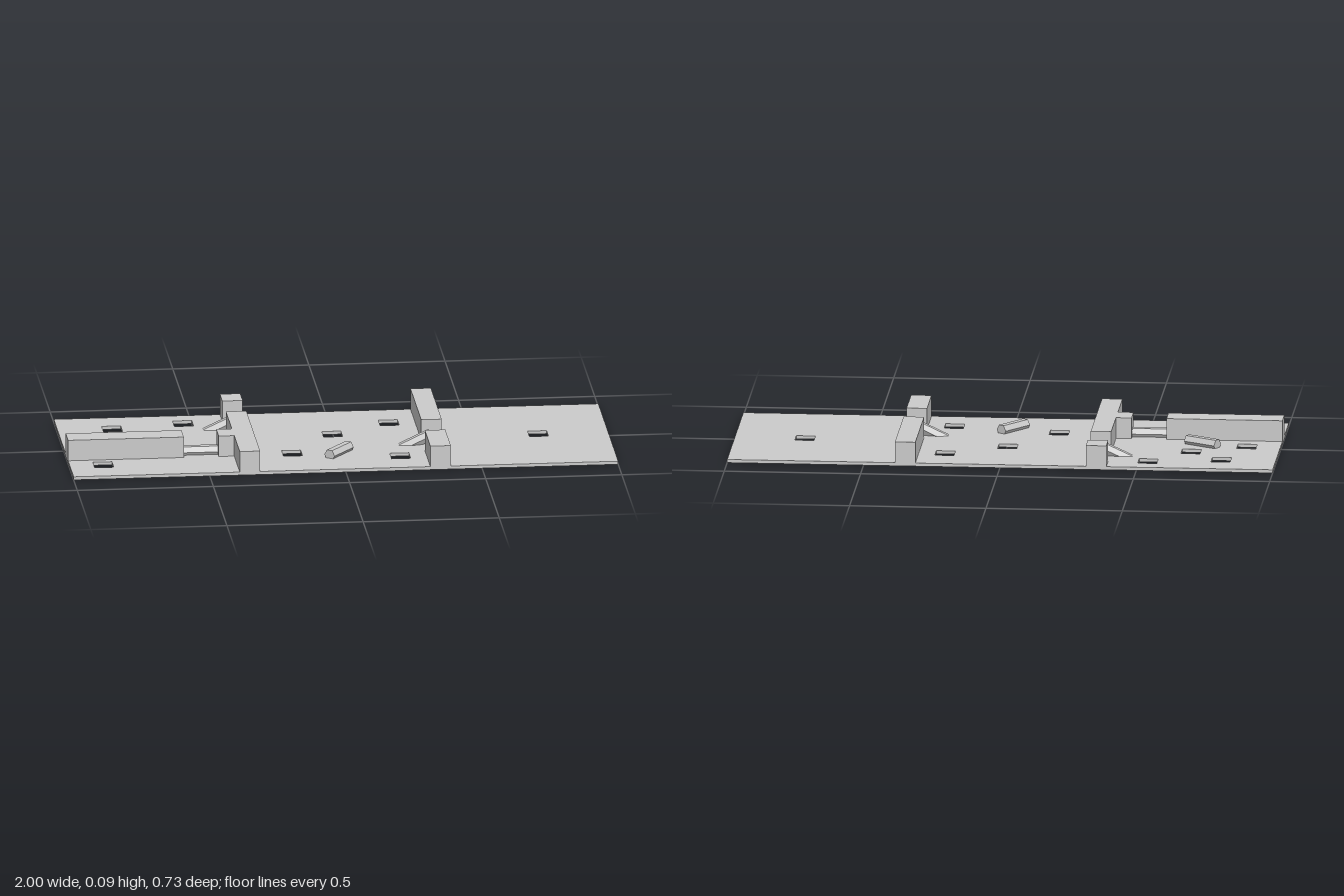
import * as THREE from 'three';

const PLATE = 0.012, TOP = 0.09, HALF_DEPTH = 0.367;
const BAR_LENGTH = 0.133, BAR_RADIUS = 0.022, BAR_Y = 0.0235;

const material = new THREE.MeshStandardMaterial({ color: 0xcccccc, flatShading: true });

function add(group, name, geometry) {
  const mesh = new THREE.Mesh(geometry, material);
  mesh.name = name;
  group.add(mesh);
}

// Thin floor with square holes cut through it
function floorGeometry() {
  const shape = new THREE.Shape([
    [-1, -HALF_DEPTH], [1, -HALF_DEPTH], [1, HALF_DEPTH], [-1, HALF_DEPTH],
  ].map(([x, z]) => new THREE.Vector2(x, z)));
  const holes = [
    [-0.80, -0.225], [-0.535, -0.267], [-0.68, -0.105], [-0.877, -0.011], [-0.877, 0.225],
    [-0.176, 0.148], [-0.006, -0.08], [0.214, -0.203], [0.214, 0.219], [0.743, -0.011],
  ];
  const s = 0.035;
  for (const [x, z] of holes) {
    shape.holes.push(new THREE.Path([[-s, -s], [-s, s], [s, s], [s, -s]]
      .map(([dx, dz]) => new THREE.Vector2(x + dx, z + dz))));
  }
  const geometry = new THREE.ExtrudeGeometry(shape, { depth: PLATE, bevelEnabled: false });
  return geometry.rotateX(Math.PI / 2).translate(0, PLATE, 0);
}

// Wall block standing on the floor
function wallGeometry(x0, x1, z0, z1) {
  return new THREE.BoxGeometry(x1 - x0, TOP - PLATE, z1 - z0)
    .translate((x0 + x1) / 2, (TOP + PLATE) / 2, (z0 + z1) / 2);
}

// Six-sided bar along x, tilted, turned and placed; nothing may come out under the floor
function barGeometry(x, y, z, turn = 0, tilt = 0) {
  const geometry = new THREE.CylinderGeometry(BAR_RADIUS, BAR_RADIUS, BAR_LENGTH, 6, 16)
    .rotateZ(-Math.PI / 2 + tilt).rotateY(turn).translate(x, y, z);
  const p = geometry.attributes.position;
  for (let i = 0; i < p.count; i++) p.setY(i, Math.max(p.getY(i), 0.004));
  geometry.computeVertexNormals();
  return geometry;
}

// Bar whose raised end (centred at x, y) rests on a door bar
function leaningBar(x, y, z, tilt) {
  const h = BAR_LENGTH / 2;
  return barGeometry(x - h * Math.cos(tilt), y - h * Math.sin(tilt), z, 0, tilt);
}

export function createModel() {
  const model = new THREE.Group();
  model.name = 'floorPlan';
  add(model, 'floor', floorGeometry());

  // Walls, with one doorway in each run
  const walls = new THREE.Group();
  walls.name = 'walls';
  model.add(walls);
  add(walls, 'leftCrossWallFront', wallGeometry(0.31, 0.385, 0.163, HALF_DEPTH));
  add(walls, 'leftCrossWallBack', wallGeometry(0.31, 0.385, -HALF_DEPTH, 0.03));
  add(walls, 'rightCrossWallFront', wallGeometry(-0.39, -0.315, -0.144, HALF_DEPTH));
  add(walls, 'rightCrossWallBack', wallGeometry(-0.39, -0.315, -HALF_DEPTH, -0.278));
  add(walls, 'longWall', wallGeometry(-1, -0.575, 0.075, 0.163));
  add(walls, 'longWallStub', wallGeometry(-0.447, -0.39, 0.075, 0.163));

  // Bars lying across the doorways
  add(model, 'leftDoorBar', barGeometry(0.35, BAR_Y, 0.0965, Math.PI / 2));
  add(model, 'rightDoorBar', barGeometry(-0.353, BAR_Y, -0.211, Math.PI / 2));
  add(model, 'longWallDoorBar', barGeometry(-0.511, BAR_Y, 0.12));

  // Bars sloping up onto the door bars
  add(model, 'leftLeaningBar', leaningBar(0.34, 0.047, 0.0745, 0.44));
  add(model, 'rightLeaningBar', leaningBar(-0.351, 0.047, -0.187, 0.43));

  // Loose bars on the floor
  add(model, 'looseBarRight', barGeometry(-0.714, BAR_Y, -0.01, -0.53));
  add(model, 'looseBarMiddle', barGeometry(-0.006, BAR_Y, 0.172, 0.92));

  return model;
}
